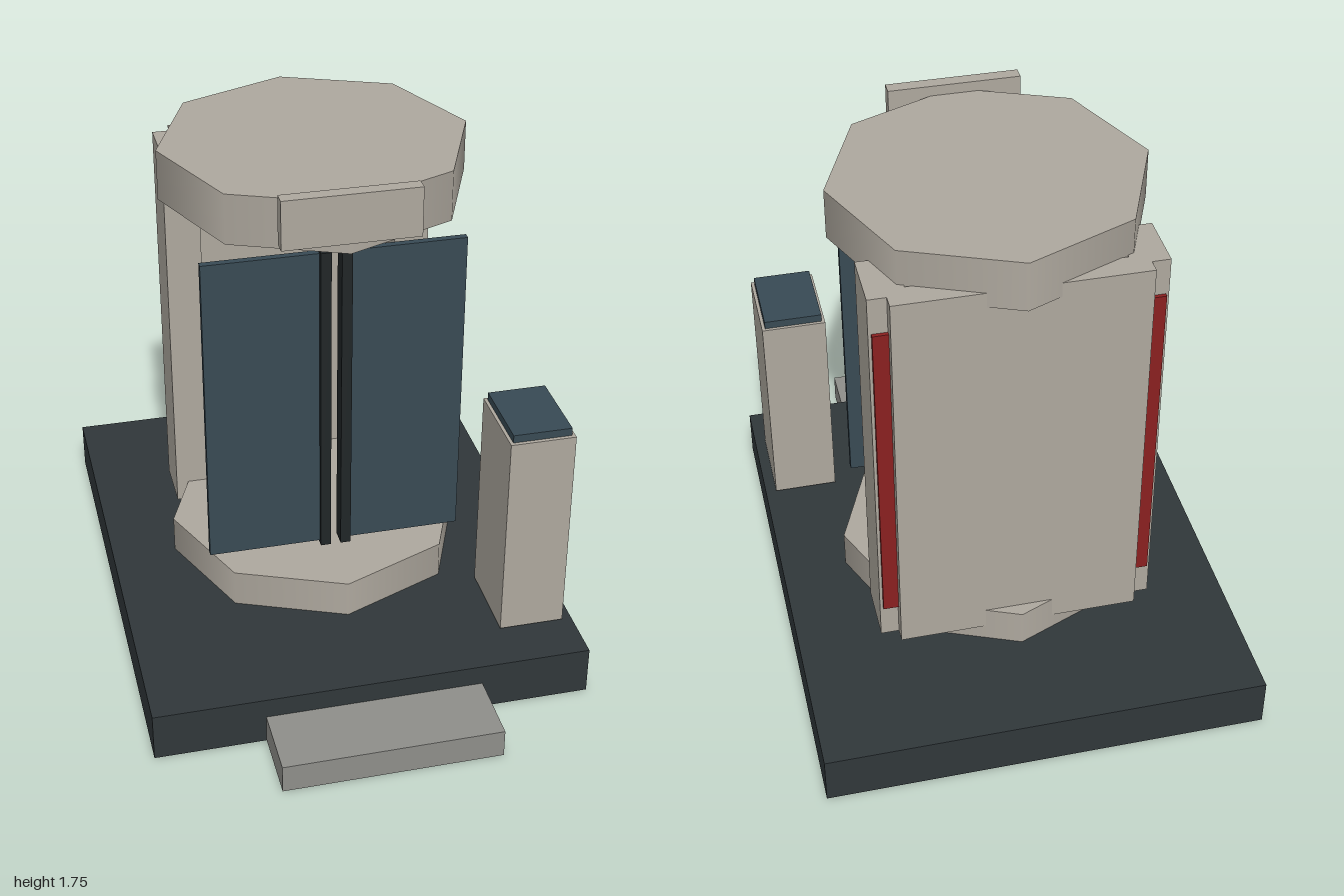
import * as THREE from 'three';

const material = (color) => new THREE.MeshStandardMaterial({ color });

export function createModel() {
  const model = new THREE.Group();
  const cream = material(0xaea89e);
  const dark = material(0x30373a);
  const black = material(0x202527);
  const glass = material(0x384a54);
  const red = material(0x8a2020);
  const grey = material(0x8e8e8a);

  // Box given by its limits on each axis
  const box = (name, mat, [x0, x1], [y0, y1], [z0, z1]) => {
    const mesh = new THREE.Mesh(new THREE.BoxGeometry(x1 - x0, y1 - y0, z1 - z0), mat);
    mesh.position.set((x0 + x1) / 2, (y0 + y1) / 2, (z0 + z1) / 2);
    mesh.name = name;
    model.add(mesh);
  };

  // Smooth-shaded octagonal disc with a corner facing forward
  const disc = (name, y0, y1) => {
    const mesh = new THREE.Mesh(new THREE.CylinderGeometry(0.51, 0.51, y1 - y0, 8), cream);
    mesh.position.set(0, (y0 + y1) / 2, -0.122);
    mesh.name = name;
    model.add(mesh);
  };

  // Platform and entry step
  box('platform', dark, [-0.73, 0.73], [0, 0.167], [-1, 0.757]);
  box('frontStep', grey, [-0.363, 0.363], [0, 0.098], [0.757, 1]);

  // Booth floor, roof and sign plate
  disc('boothFloor', 0.165, 0.295);
  disc('boothRoof', 1.54, 1.71);
  box('signPlate', cream, [-0.22, 0.22], [1.58, 1.745], [0.355, 0.4]);

  // Back wall
  box('backPanel', cream, [-0.4, 0.4], [0.222, 1.59], [-0.585, -0.5]);

  // Mirrored columns, light strips, doors and door edges
  for (const [side, s] of [['left', 1], ['right', -1]]) {
    const span = (a, b) => (s > 0 ? [a, b] : [-b, -a]);
    box(side + 'Column', cream, span(0.34, 0.46), [0.222, 1.59], [-0.54, -0.343]);
    box(side + 'LightStrip', red, span(0.39, 0.45), [0.345, 1.465], [-0.553, -0.537]);
    box(side + 'Door', glass, span(0.04, 0.433), [0.345, 1.447], [0.163, 0.187]);
    box(side + 'DoorEdge', black, span(0.017, 0.052), [0.335, 1.455], [0.145, 0.205]);
  }

  // Control pedestal with its screen
  box('pedestal', cream, [0.475, 0.693], [0.175, 0.905], [0.295, 0.588]);
  box('pedestalScreen', glass, [0.486, 0.682], [0.905, 0.932], [0.306, 0.575]);

  return model;
}
